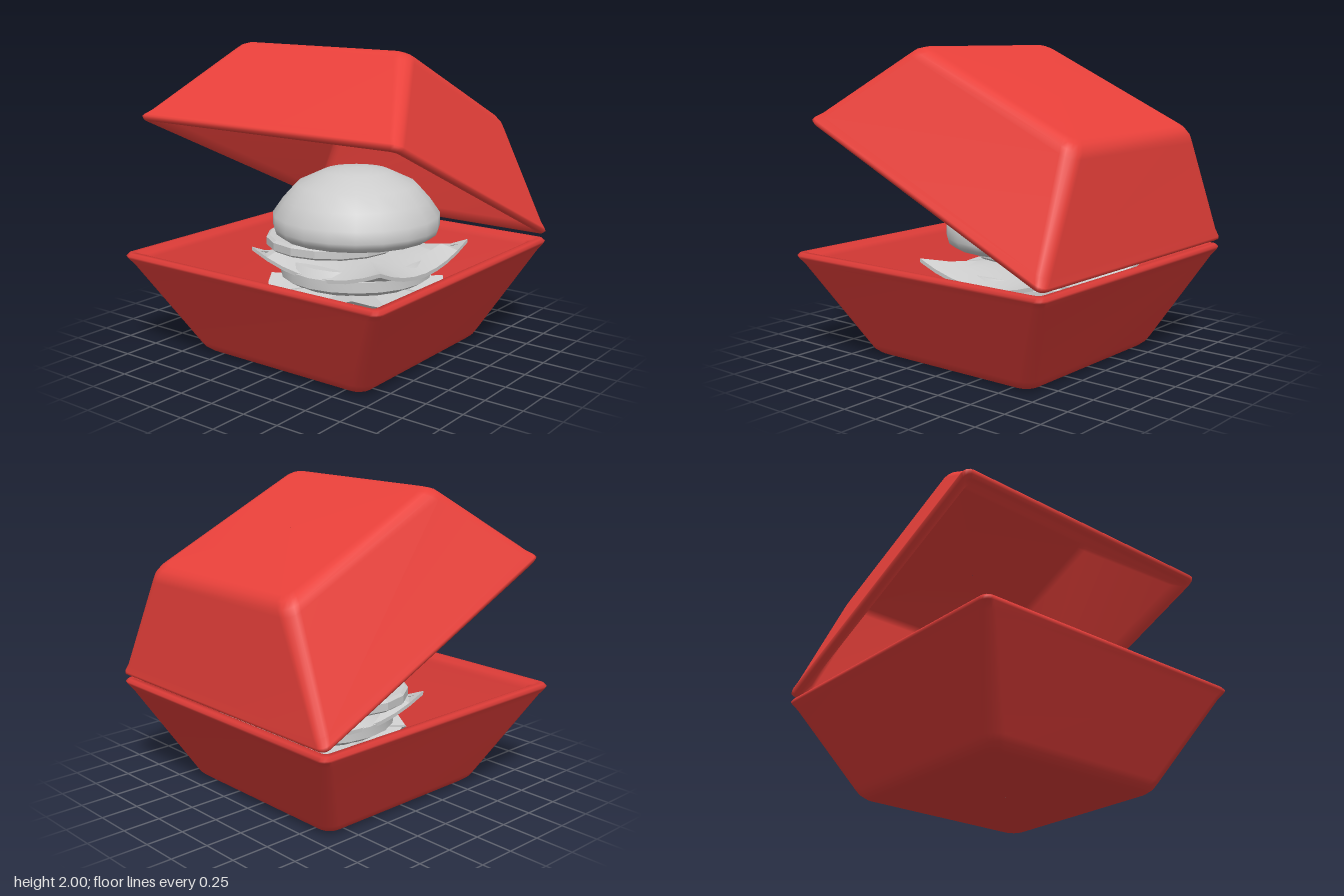
import * as THREE from 'three';
import { toCreasedNormals } from 'three/addons/utils/BufferGeometryUtils.js';

const grey = new THREE.MeshStandardMaterial({ color: 0xcccccc });
const red = new THREE.MeshStandardMaterial({ color: 0xe8403a });
const baseRed = new THREE.MeshStandardMaterial({ color: 0xd83a36 });

function mesh(name, geometry, material, x = 0, y = 0, z = 0) {
  const m = new THREE.Mesh(geometry, material);
  m.name = name;
  m.position.set(x, y, z);
  return m;
}

// Loft through rounded squares: each section is [half width, height, corner radius]
function trayGeometry(sections, steps = 4) {
  const pos = [], index = [], n = 4 * (steps + 1);
  for (const [half, y, r] of sections) {
    for (let c = 0; c < 4; c++) {
      const mid = Math.PI / 4 + c * Math.PI / 2;
      const cx = Math.sign(Math.cos(mid)) * (half - r);
      const cz = Math.sign(Math.sin(mid)) * (half - r);
      for (let s = 0; s <= steps; s++) {
        const a = c * Math.PI / 2 + (s / steps) * Math.PI / 2;
        pos.push(cx + r * Math.cos(a), y, cz + r * Math.sin(a));
      }
    }
  }
  for (let i = 0; i < sections.length - 1; i++) {
    for (let j = 0; j < n; j++) {
      const a = i * n + j, c = i * n + (j + 1) % n, b = a + n, d = c + n;
      index.push(a, b, c, c, b, d);
    }
  }
  const g = new THREE.BufferGeometry();
  g.setAttribute('position', new THREE.Float32BufferAttribute(pos, 3));
  g.setIndex(index);
  g.computeVertexNormals();
  return g;
}

const outside = [
  [0.002, 0, 0.001], [0.59, 0, 0.06], [0.635, 0.012, 0.08], [0.67, 0.04, 0.09],
  [0.69, 0.075, 0.09], [0.97, 0.615, 0.065], [0.995, 0.655, 0.055], [1.0, 0.67, 0.05],
];
const inside = [[0.90, 0.64, 0.04], [0.61, 0.08, 0.06], [0.57, 0.045, 0.05], [0.002, 0.045, 0.001]];

// Slice with a raised rim and a ring of seed chambers
function sliceGeometry(radius, depth) {
  const shape = new THREE.Shape();
  shape.absarc(0, 0, radius, 0, Math.PI * 2);
  const count = 8;
  for (let i = 0; i < count; i++) {
    const a = (i / count) * Math.PI * 2, w = 0.24;
    const hole = new THREE.Path();
    hole.absarc(0, 0, radius * 0.8, a - w, a + w, false);
    hole.absarc(0, 0, radius * 0.56, a + w, a - w, true);
    hole.closePath();
    shape.holes.push(hole);
  }
  const g = new THREE.ExtrudeGeometry(shape, {
    depth, curveSegments: 8, bevelEnabled: true, bevelSegments: 1,
    bevelSize: 0.02, bevelThickness: 0.015,
  });
  return g.rotateX(-Math.PI / 2);
}

function lathe(points, segments = 20) {
  return new THREE.LatheGeometry(points.map(([r, y]) => new THREE.Vector2(r, y)), segments);
}

// Thin square sheet whose edges sag while the corners flick up
function cheeseGeometry() {
  const g = new THREE.BoxGeometry(1.04, 0.025, 1.04, 8, 1, 8);
  const p = g.attributes.position;
  for (let i = 0; i < p.count; i++) {
    const x = p.getX(i) / 0.52, z = p.getZ(i) / 0.52;
    const edge = Math.max(Math.abs(x), Math.abs(z));
    const corner = Math.abs(x * z);
    p.setY(i, p.getY(i) - 0.1 * edge ** 3 + 0.12 * corner ** 2);
  }
  return toCreasedNormals(g, 0.3);
}

// Round leaf with a frilled edge
function leafGeometry() {
  const g = new THREE.CylinderGeometry(0.58, 0.54, 0.03, 32, 1);
  const p = g.attributes.position;
  for (let i = 0; i < p.count; i++) {
    const x = p.getX(i), z = p.getZ(i), a = Math.atan2(z, x);
    if (Math.hypot(x, z) > 0.1) {
      p.setY(i, p.getY(i) + 0.035 * Math.sin(a * 8));
      const k = 1 + 0.04 * Math.cos(a * 5);
      p.setX(i, x * k);
      p.setZ(i, z * k);
    }
  }
  return toCreasedNormals(g, 0.4);
}

export function createModel() {
  const group = new THREE.Group();
  group.name = 'burgerInBox';

  // Tray with a stepped rim
  group.add(mesh('boxBase', trayGeometry([
    ...outside, [0.985, 0.688, 0.045], [0.955, 0.69, 0.04], [0.945, 0.672, 0.035],
    [0.91, 0.668, 0.035], ...inside,
  ]), baseRed));

  // Lid: the same tray upside down, swung open about the hinge at +x
  const hinge = new THREE.Group();
  hinge.name = 'lidHinge';
  hinge.position.set(0.993, 0.705, 0);
  hinge.rotation.z = -0.431;
  const lid = mesh('boxLid', trayGeometry([
    ...outside, [0.985, 0.69, 0.045], [0.955, 0.69, 0.04], ...inside,
  ]), red, -1, 0.69, 0);
  lid.rotation.x = Math.PI;
  hinge.add(lid);
  group.add(hinge);

  // Burger, stacked from the tray floor up
  const burger = new THREE.Group();
  burger.name = 'burger';
  burger.position.x = 0.17;
  burger.add(mesh('bottomBun', lathe([
    [0, 0.05], [0.36, 0.05], [0.45, 0.12], [0.5, 0.22], [0.5, 0.31], [0.46, 0.36], [0, 0.36],
  ]), grey));
  burger.add(mesh('lettuce', leafGeometry(), grey, 0, 0.4, 0));
  burger.add(mesh('patty', toCreasedNormals(lathe([
    [0, 0.43], [0.44, 0.43], [0.51, 0.47], [0.51, 0.54], [0.46, 0.59], [0, 0.59],
  ]), 0.5), grey));
  burger.add(mesh('cheese', cheeseGeometry(), grey, 0.03, 0.63, 0.02));
  burger.add(mesh('tomatoSlice', sliceGeometry(0.43, 0.05), grey, -0.05, 0.66, -0.16));
  burger.add(mesh('tomatoCore', new THREE.CylinderGeometry(0.4, 0.4, 0.05, 24), grey, -0.05, 0.67, -0.16));
  burger.add(mesh('topBun', lathe([
    [0, 0.735], [0.51, 0.735], [0.55, 0.765], [0.56, 0.8], [0.56, 0.88], [0.49, 0.98],
    [0.4, 1.08], [0.22, 1.165], [0.1, 1.185], [0, 1.19],
  ]), grey));
  group.add(burger);
  return group;
}
